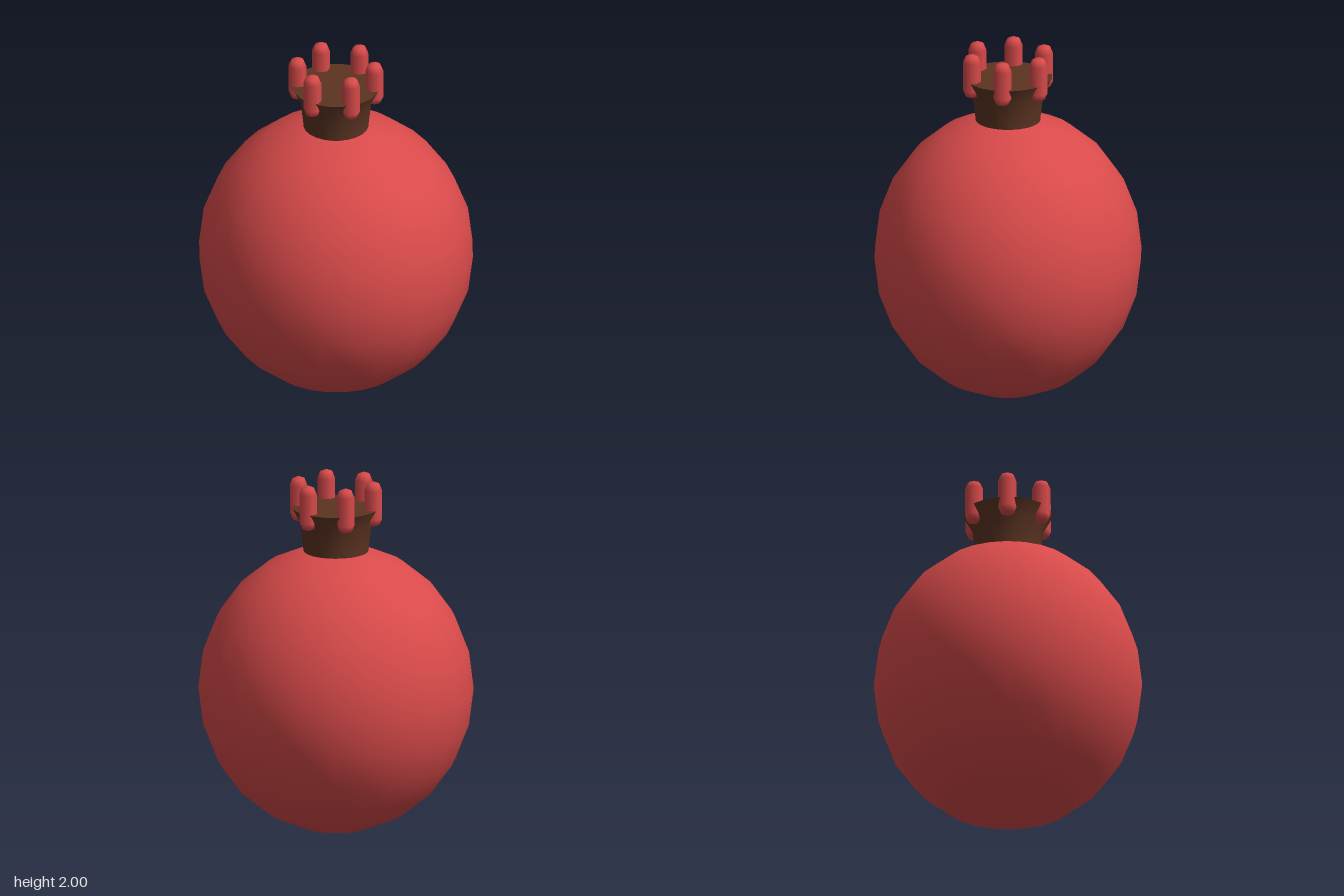
import * as THREE from 'three';

export function createModel() {
  const model = new THREE.Group();
  const red = new THREE.MeshStandardMaterial({ color: 0xd94a4a });
  red.name = 'fruit red';
  const brown = new THREE.MeshStandardMaterial({ color: 0x5c3422 });
  brown.name = 'stem brown';

  const add = (name, geometry, material, x = 0, y = 0, z = 0) => {
    const mesh = new THREE.Mesh(geometry, material);
    mesh.name = name;
    mesh.position.set(x, y, z);
    model.add(mesh);
    return mesh;
  };

  // Round fruit body, slightly taller than wide
  add('body', new THREE.SphereGeometry(1, 24, 12), red, 0, 0.808, 0).scale.set(0.76, 0.808, 0.74);

  // Flared neck with a flat top
  const profile = [[0.178, 1.57], [0.182, 1.62], [0.197, 1.75], [0.245, 1.84]]
    .map(([r, y]) => new THREE.Vector2(r, y));
  add('neck', new THREE.LatheGeometry(profile, 24), brown);
  add('neckTop', new THREE.CircleGeometry(0.245, 24), brown, 0, 1.84, 0).rotation.x = -Math.PI / 2;

  // Ring of six stubby crown prongs
  const prong = new THREE.CapsuleGeometry(0.05, 0.16, 2, 8);
  for (let i = 0; i < 6; i++) {
    const a = (i * Math.PI) / 3;
    add('crownProng' + (i + 1), prong, red, 0.214 * Math.cos(a), 1.87, 0.214 * Math.sin(a));
  }
  return model;
}
